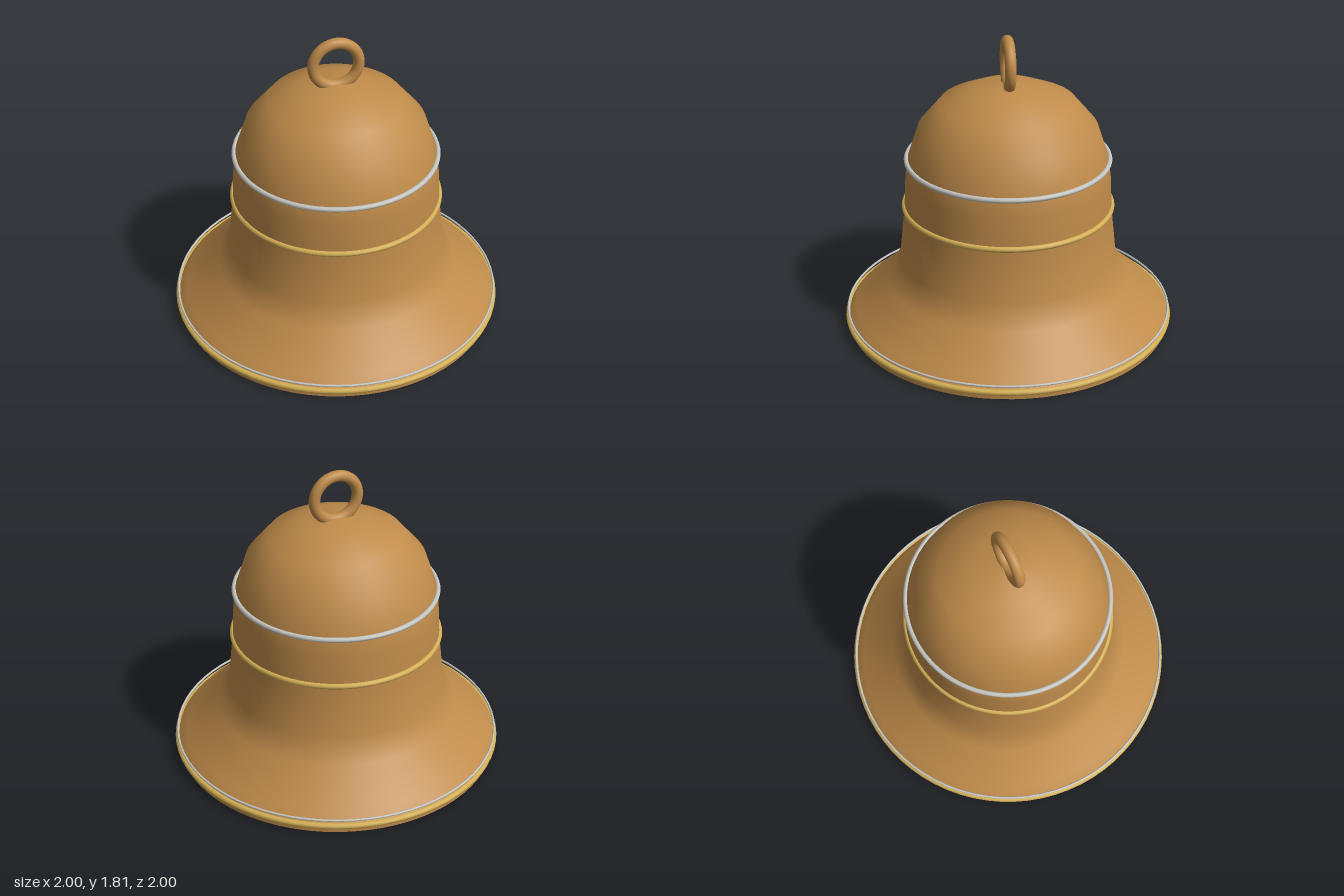
import * as THREE from 'three';

const mat = (name, color, side = THREE.FrontSide) => {
  const m = new THREE.MeshStandardMaterial({ color, side });
  m.name = name;
  return m;
};

export function createModel() {
  const bronze = mat('bronze', 0xbf8b4a);
  const darkBronze = mat('dark bronze', 0x6b4427);
  const gold = mat('gold', 0xd4af55);
  const silver = mat('silver', 0xc4c4c0);

  const group = new THREE.Group();
  group.name = 'bell';
  const add = (name, geometry, material, y = 0) => {
    const mesh = new THREE.Mesh(geometry, material);
    mesh.name = name;
    mesh.position.y = y;
    group.add(mesh);
    return mesh;
  };
  const lathe = (pts) => new THREE.LatheGeometry(pts.map(([x, y]) => new THREE.Vector2(x, y)), 72);

  // Flared outer body, from lip to crown
  add('body', lathe([
    [0.98, 0.055], [0.93, 0.11], [0.73, 0.28], [0.655, 0.43], [0.625, 0.7],
    [0.618, 0.8], [0.61, 0.95], [0.595, 1.06], [0.53, 1.255], [0.4, 1.41], [0.2, 1.5], [0, 1.525],
  ]), bronze);

  // Hollow inside, from crown to lip
  add('innerWall', lathe([
    [0, 1.5], [0.19, 1.475], [0.385, 1.39], [0.51, 1.24], [0.57, 1.06], [0.595, 0.75],
    [0.63, 0.43], [0.705, 0.27], [0.9, 0.1], [0.96, 0.04], [0.965, 0],
  ]), darkBronze);

  // Straight lip and its underside
  add('lip', lathe([[0.98, 0], [0.98, 0.055]]), bronze);
  add('lipUnderside', lathe([[0.965, 0], [0.98, 0]]), bronze);

  // Decorative bands: name, material, height, ring radius, tube radius
  [
    ['upperBand', silver, 1.057, 0.602, 0.015],
    ['middleBand', gold, 0.76, 0.62, 0.0175],
    ['lowerSilverBand', silver, 0.085, 0.983, 0.007],
    ['lowerGoldBand', gold, 0.045, 0.982, 0.018],
  ].forEach(([name, material, y, r, tube]) => {
    add(name, new THREE.TorusGeometry(r, tube, 10, 72).rotateX(Math.PI / 2), material, y);
  });

  // Hanging loop
  add('hangingLoop', new THREE.TorusGeometry(0.136, 0.033, 16, 48), bronze, 1.64);

  return group;
}
